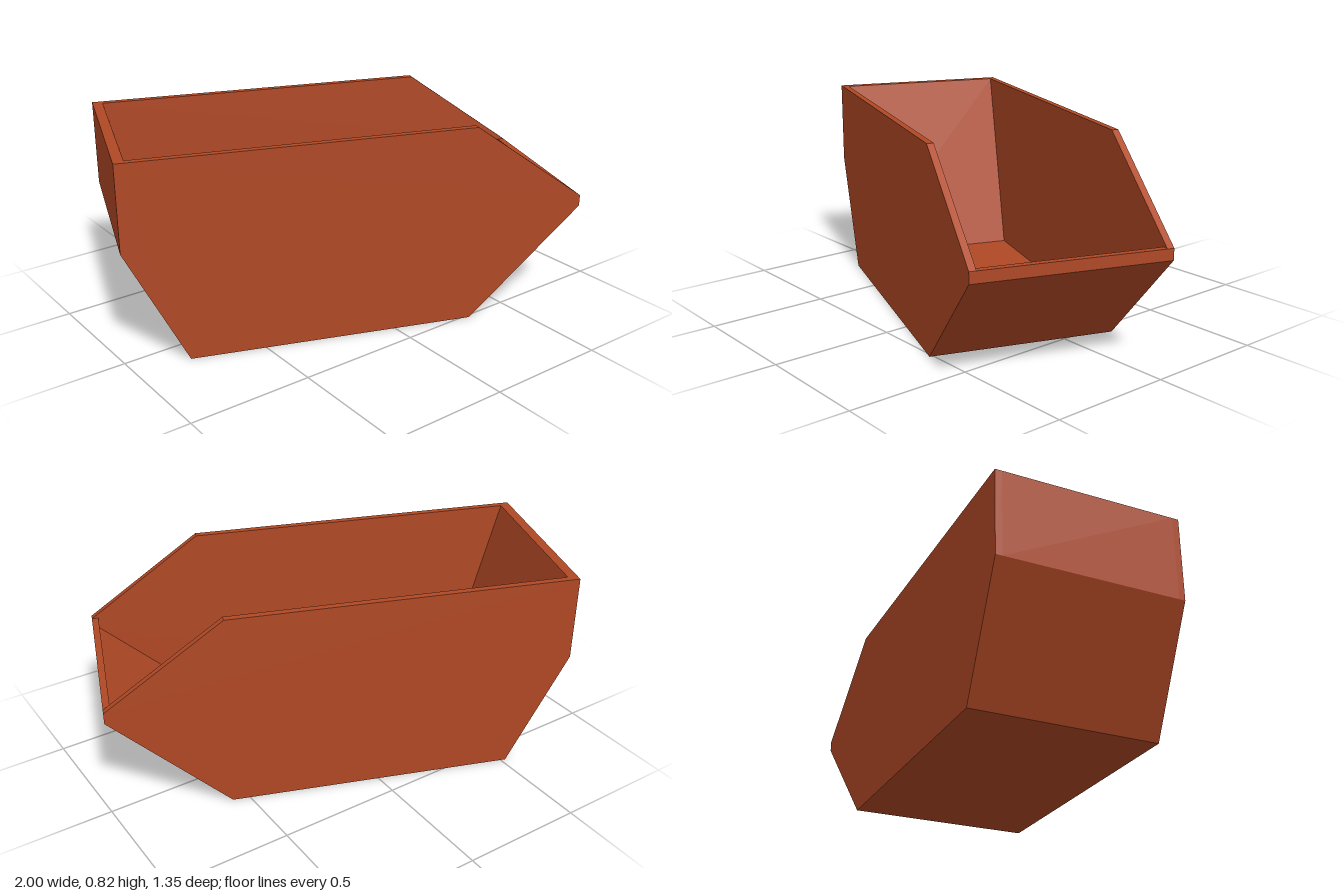
import * as THREE from 'three';

export function createModel() {
  const group = new THREE.Group();
  group.name = 'openBin';
  const rust = new THREE.MeshStandardMaterial({ color: 0xb04825, flatShading: true });
  rust.name = 'rustOrange';

  const halfWidth = 0.38, wall = 0.027;

  // Extrudes a side profile (length, height) across the bin from z0 to z1
  function addPart(name, points, z0, z1) {
    const shape = new THREE.Shape(points.map(([x, y]) => new THREE.Vector2(x, y)));
    const geometry = new THREE.ExtrudeGeometry(shape, { depth: z1 - z0, bevelEnabled: false });
    geometry.translate(0, 0, z0);
    const mesh = new THREE.Mesh(geometry, rust);
    mesh.name = name;
    group.add(mesh);
  }

  // Outer profile, from the back rim under the floor to the front lip
  const outer = [[-0.926, 0.822], [-0.926, 0.472], [-0.691, 0], [0.463, 0], [0.926, 0.442], [0.926, 0.487]];
  // Inner profile, from the front lip back along the floor to the back rim
  const inner = [[0.899, 0.487], [0.899, 0.44], [0.463, 0.05], [-0.684, 0.05], [-0.886, 0.822]];

  // Two solid side walls with a cut-down front corner
  const side = [...outer, [0.463, 0.822]];
  addPart('leftWall', side, halfWidth - wall, halfWidth);
  addPart('rightWall', side, -halfWidth, -halfWidth + wall);

  // Back wall, floor, front slope and lip in one folded strip
  addPart('floorAndEnds', [...outer, ...inner], -halfWidth + wall, halfWidth - wall);

  // The bin stands turned on its base
  group.rotation.y = -THREE.MathUtils.degToRad(20);
  const model = new THREE.Group();
  model.name = 'bin';
  model.add(group);
  return model;
}
